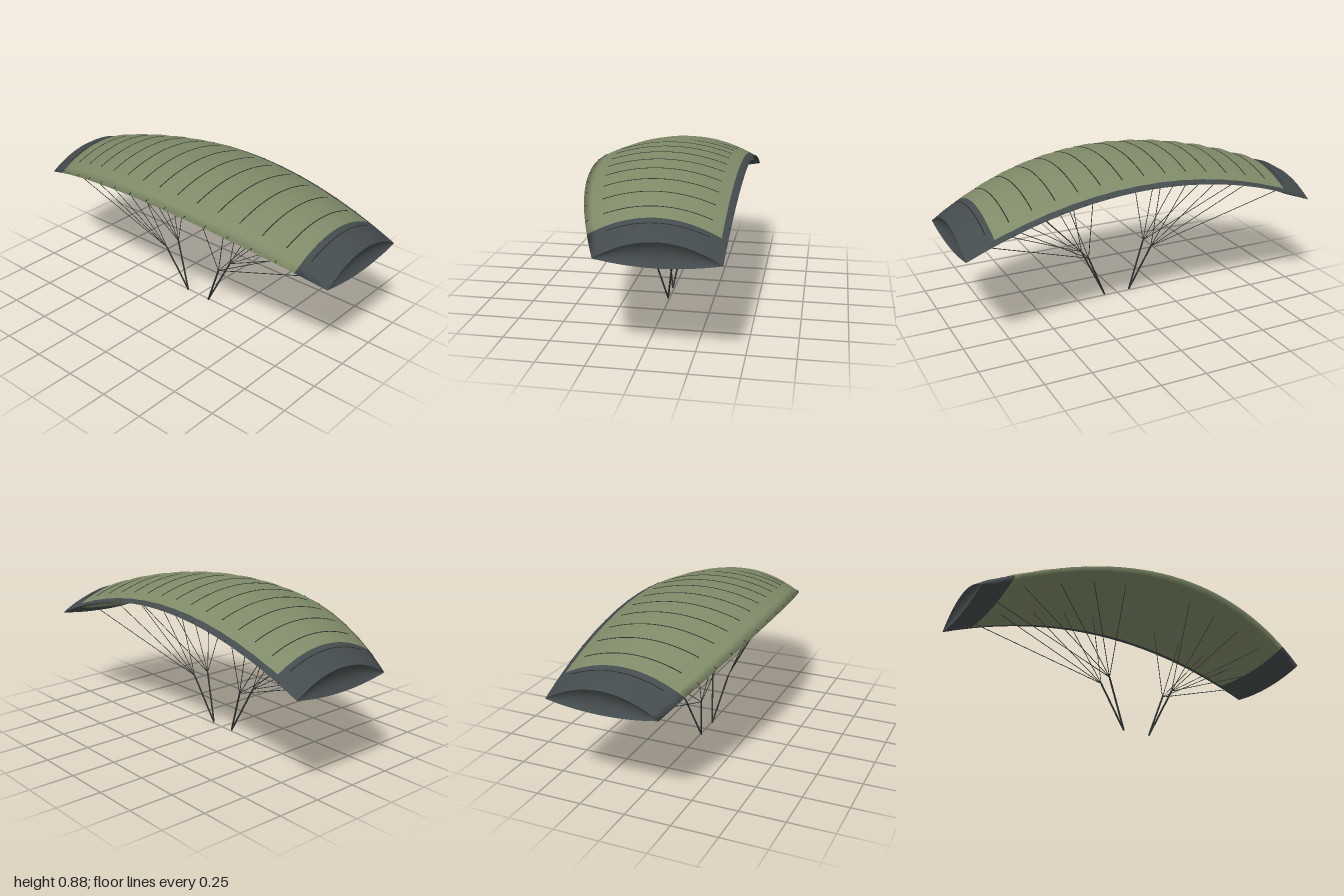
import * as THREE from 'three';

const CELLS = 16, CHORD_STEPS = 18, TAIL = 0.956, TIP = 0.845;

const mat = (name, color) => {
  const m = new THREE.MeshStandardMaterial({ color });
  m.name = name;
  return m;
};

// Point on the canopy: x across the span, t from leading (0) to trailing edge (1), s from lower (0) to upper skin (1)
function canopyPoint(x, t, s) {
  const lead = 0.42 - 0.22 * x * x;
  const trail = -0.42 + 0.01 * x * x;
  const f = (Math.abs(x) * CELLS / 2) % 1;
  const puff = 1 - Math.abs(2 * f - 1); // each cell bulges between its ribs
  const profile = 4 * t * (1 - t);
  const top = (0.096 + 0.011 * puff) * profile;
  const bottom = -(0.03 + 0.01 * puff) * profile;
  const y = 0.77 - 0.22 * x * x + THREE.MathUtils.lerp(bottom, top, s);
  return new THREE.Vector3(x, y, THREE.MathUtils.lerp(lead, trail, t));
}

// Indexed grid surface; pick(i, j) chooses the material slot of each quad
function gridGeometry(us, vs, point, flip, pick = () => 0) {
  const pos = [], slots = [[], []], n = vs.length;
  us.forEach(u => vs.forEach(v => pos.push(...point(u, v).toArray())));
  for (let i = 0; i < us.length - 1; i++) {
    for (let j = 0; j < n - 1; j++) {
      const a = i * n + j, b = a + n, c = a + 1, d = b + 1;
      slots[pick(i, j)].push(...(flip ? [a, c, b, b, c, d] : [a, b, c, b, d, c]));
    }
  }
  const g = new THREE.BufferGeometry();
  g.setAttribute('position', new THREE.Float32BufferAttribute(pos, 3));
  g.setIndex([...slots[0], ...slots[1]]);
  g.addGroup(0, slots[0].length, 0);
  g.addGroup(slots[0].length, slots[1].length, 1);
  g.computeVertexNormals();
  return g;
}

function addMesh(parent, name, geometry, material) {
  const mesh = new THREE.Mesh(geometry, material);
  mesh.name = name;
  parent.add(mesh);
  return mesh;
}

// Straight rod between two points
function addRod(parent, name, a, b, radius, material) {
  const dir = b.clone().sub(a);
  const rod = addMesh(parent, name, new THREE.CylinderGeometry(radius, radius, dir.length(), 6), material);
  rod.position.copy(a).add(b).multiplyScalar(0.5);
  rod.quaternion.setFromUnitVectors(new THREE.Vector3(0, 1, 0), dir.normalize());
}

export function createModel() {
  const model = new THREE.Group();
  model.name = 'parafoilParachute';
  const olive = mat('olive fabric', 0x7f8a68);
  const charcoal = mat('charcoal fabric', 0x444b4c);
  const cord = mat('dark cord', 0x2d322f);

  // Canopy skin wrapped round the leading edge, with charcoal tips and trailing band
  const canopy = new THREE.Group();
  canopy.name = 'canopy';
  model.add(canopy);
  const xs = [-TIP, TIP];
  for (let i = 0; i <= CELLS * 2; i++) xs.push(-1 + i / CELLS);
  xs.sort((a, b) => a - b);
  const ts = [TAIL];
  for (let j = 0; j <= CHORD_STEPS; j++) ts.push(j / CHORD_STEPS);
  ts.sort((a, b) => a - b);
  const wrap = [...ts.slice(1).reverse().map(t => -t), ...ts]; // negative is the lower side
  const pick = (i, j) =>
    Math.abs(xs[i] + xs[i + 1]) / 2 > TIP || Math.abs(wrap[j] + wrap[j + 1]) / 2 > TAIL ? 1 : 0;
  addMesh(canopy, 'canopySkin',
    gridGeometry(xs, wrap, (x, v) => canopyPoint(x, Math.abs(v), v < 0 ? 0 : 1), false, pick),
    [olive, charcoal]);

  // Tip panels, drawn slightly inward
  const rows = [0, 1, 2, 3, 4, 5, 6, 7, 8].map(k => k / 8);
  for (const side of [1, -1]) {
    const tipPoint = (s, t) => {
      const p = canopyPoint(side, t, s);
      p.x -= side * 0.025 * 4 * s * (1 - s) * 4 * t * (1 - t);
      return p;
    };
    addMesh(canopy, side > 0 ? 'leftTipPanel' : 'rightTipPanel',
      gridGeometry(rows, ts, tipPoint, side > 0), charcoal);
  }

  // Rib seams along the upper skin, with short ticks at the leading and trailing edges
  const seams = new THREE.Group();
  seams.name = 'ribSeams';
  model.add(seams);
  const addSeam = (x, t0, t1, steps, radius) => {
    const pts = [];
    for (let k = 0; k <= steps; k++) pts.push(canopyPoint(x, t0 + (t1 - t0) * k / steps, 1));
    addMesh(seams, 'seam', new THREE.TubeGeometry(new THREE.CatmullRomCurve3(pts), steps * 2, radius, 5), cord);
  };
  for (let i = 1; i < CELLS; i++) {
    const x = -1 + i * 2 / CELLS;
    addSeam(x, 0.13, 0.88, 12, 0.0028);
    addSeam(x, 0.003, 0.022, 2, 0.0025);
    addSeam(x, 0.985, 0.998, 2, 0.0025);
  }

  // Risers and fanned suspension lines on each side
  for (const side of [1, -1]) {
    const rig = new THREE.Group();
    rig.name = side > 0 ? 'leftRigging' : 'rightRigging';
    model.add(rig);
    const foot = new THREE.Vector3(side * 0.078, 0.003, 0.008);
    for (const [row, z, t] of [['front', 0.06, 0.18], ['rear', -0.038, 0.67]]) {
      const joint = new THREE.Vector3(side * 0.196, 0.27, z);
      addRod(rig, row + 'Riser', foot, joint, 0.005, cord);
      for (let k = 0; k < 5; k++) {
        addRod(rig, row + 'Line', joint, canopyPoint(side * (0.205 + 0.1875 * k), t, 0.15), 0.002, cord);
      }
    }
  }
  return model;
}
